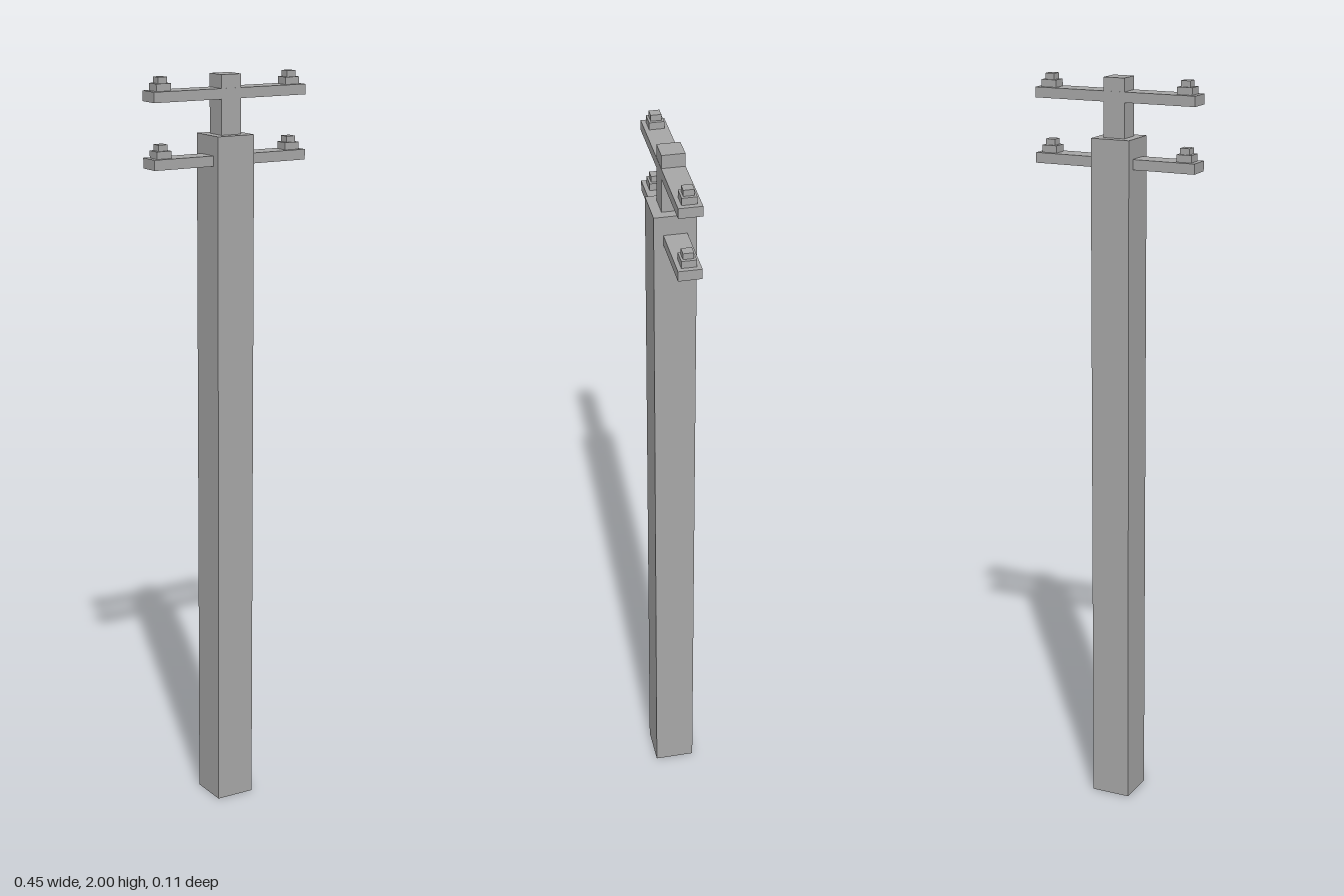
import * as THREE from 'three';

export function createModel() {
  const model = new THREE.Group();
  const grey = new THREE.MeshStandardMaterial({ color: 0xa6a6a6 });
  grey.name = 'concrete grey';

  // Box given by its base height, top height and x position, centred on z = 0
  const box = (parent, name, width, depth, bottom, top, x = 0) => {
    const mesh = new THREE.Mesh(new THREE.BoxGeometry(width, top - bottom, depth), grey);
    mesh.name = name;
    mesh.position.set(x, (bottom + top) / 2, 0);
    parent.add(mesh);
  };

  // Square post with a thinner neck on top
  box(model, 'post', 0.108, 0.108, 0, 1.846);
  box(model, 'neck', 0.059, 0.059, 1.846, 2);

  // Two crossarms, each carrying a stepped insulator near either end
  for (const [level, y] of [['lower', 1.768], ['upper', 1.938]]) {
    const arm = new THREE.Group();
    arm.name = level + 'Crossarm';
    arm.position.y = y;
    box(arm, 'crossarmBeam', 0.452, 0.06, 0, 0.027);
    for (const side of [-1, 1]) {
      const insulator = new THREE.Group();
      insulator.name = side > 0 ? 'leftInsulator' : 'rightInsulator';
      insulator.position.set(side * 0.192, 0.027, 0);
      box(insulator, 'insulatorBase', 0.042, 0.038, 0, 0.019);
      box(insulator, 'insulatorCap', 0.026, 0.027, 0.019, 0.035);
      arm.add(insulator);
    }
    model.add(arm);
  }
  return model;
}
